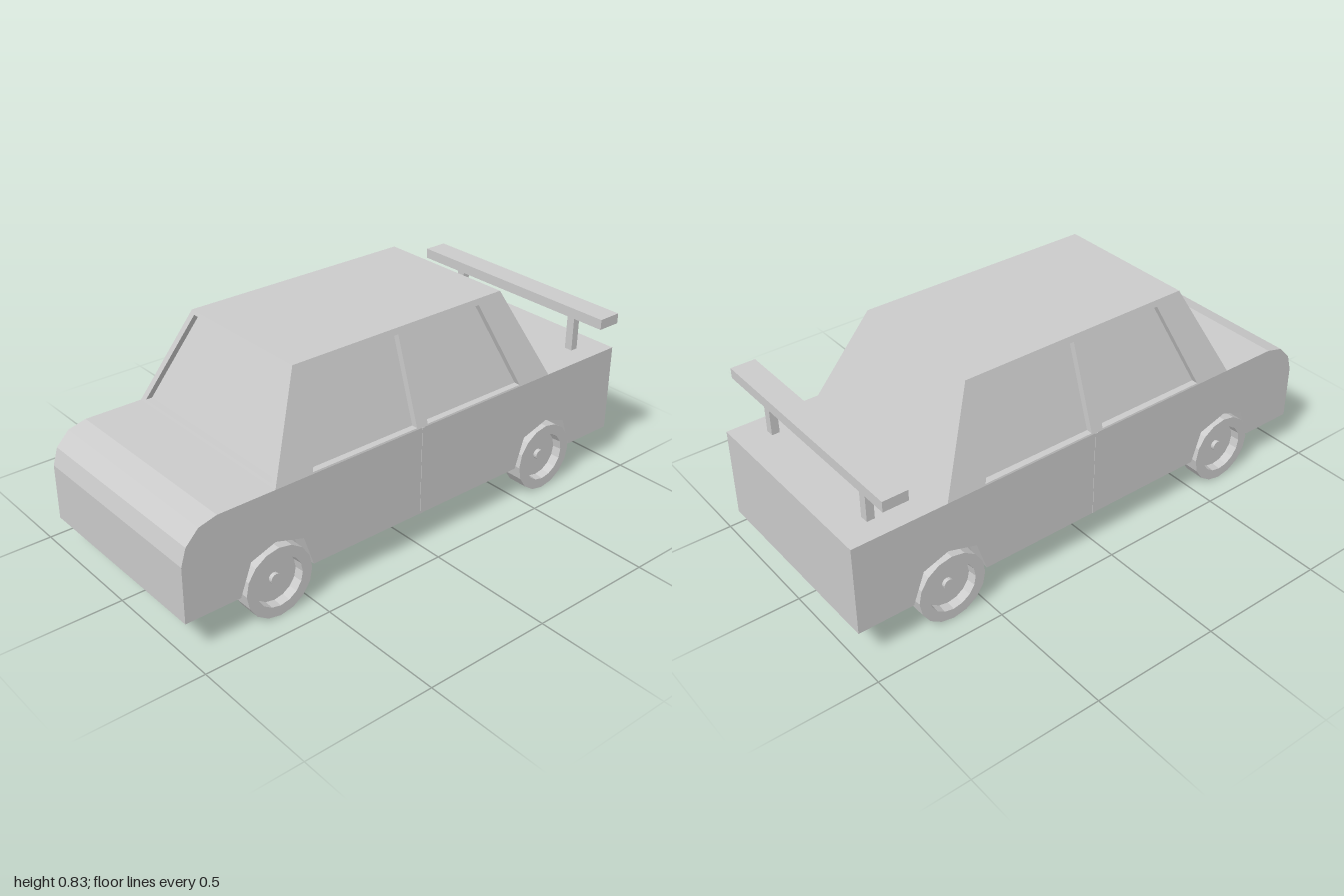
import * as THREE from 'three';

const BELT = 0.485, ROOF = 0.83, FLOOR = 0.135;   // heights
const HALF = 0.4, ROOF_HALF = 0.285;              // half widths
const AXLE = 0.635, INNER = 0.33;                 // wheel x and inner face z
const RECESS = 0.025;

const material = new THREE.MeshStandardMaterial({ color: 0xcccccc, flatShading: true });

function add(parent, name, geometry, x = 0, y = 0, z = 0) {
  const mesh = new THREE.Mesh(geometry, material);
  mesh.name = name;
  mesh.position.set(x, y, z);
  parent.add(mesh);
  return mesh;
}

const points = (list) => list.map(([x, y]) => new THREE.Vector2(x, y));

function extrude(outline, holes, depth) {
  const shape = new THREE.Shape(points(outline));
  shape.holes = holes.map((h) => new THREE.Path(points(h)));
  return new THREE.ExtrudeGeometry(shape, { depth, bevelEnabled: false });
}

// Upright panel sheared so its outer face leans from zBase at the belt to zTop at the roof
function leaningPanel(outline, holes, zBase, zTop) {
  const geo = extrude(outline, holes, RECESS);
  const p = geo.attributes.position;
  for (let i = 0; i < p.count; i++) {
    const t = (p.getY(i) - BELT) / (ROOF - BELT);
    p.setZ(i, p.getZ(i) - RECESS + zBase + (zTop - zBase) * t);
  }
  geo.computeVertexNormals();
  return geo;
}

// Side profile of the lower body, optionally with wheel arches cut from the sill
function bodyProfile(arches) {
  const arch = (x) => [[-0.15, FLOOR], [-0.105, 0.255], [-0.005, 0.29], [0.11, 0.255], [0.15, FLOOR]]
    .map(([dx, y]) => [x + (x > 0 ? -dx : dx), y])
    .sort((a, b) => a[0] - b[0]);
  return [
    [-1, FLOOR],
    ...(arches ? [...arch(-AXLE), ...arch(AXLE)] : []),
    [1, FLOOR], [1, BELT], [-0.86, BELT], [-0.93, 0.467], [-0.98, 0.415], [-1, 0.35],
  ];
}

function createBody() {
  const body = new THREE.Group();
  body.name = 'body';
  add(body, 'bodyCore', extrude(bodyProfile(false), [], INNER * 2), 0, 0, -INNER);
  const sideGeo = extrude(bodyProfile(true), [], HALF - INNER);
  add(body, 'leftBodySide', sideGeo, 0, 0, INNER);
  add(body, 'rightBodySide', sideGeo, 0, 0, -HALF);
  // Thin door seams
  for (const s of [-1, 1]) {
    add(body, 'doorSeam', new THREE.BoxGeometry(0.012, BELT - FLOOR, 0.004), 0.004, (BELT + FLOOR) / 2, s * HALF);
  }
  return body;
}

function createCabin() {
  const cabin = new THREE.Group();
  cabin.name = 'cabin';

  // Solid core whose walls act as the recessed glass
  const core = new THREE.BoxGeometry(2, 1, 2);
  const p = core.attributes.position;
  for (let i = 0; i < p.count; i++) {
    const top = p.getY(i) > 0;
    const rear = p.getX(i) > 0;
    const x = top ? 0.47 : AXLE;
    p.setXYZ(i,
      rear ? x : RECESS - x,
      top ? ROOF : BELT,
      p.getZ(i) * ((top ? ROOF_HALF : HALF) - RECESS));
  }
  core.computeVertexNormals();
  add(cabin, 'glassAndRoof', core);

  // Side frames with two windows each
  const sideOutline = [[-AXLE, BELT], [AXLE, BELT], [0.47, ROOF], [-0.47, ROOF]];
  const windows = [-1, 1].map((s) =>
    [[0.482, 0.491], [0.357, 0.808], [0.025, 0.808], [0.025, 0.491]].map(([x, y]) => [s * x, y]));
  const sideGeo = leaningPanel(sideOutline, windows, HALF, ROOF_HALF);
  add(cabin, 'leftWindowFrame', sideGeo);
  add(cabin, 'rightWindowFrame', sideGeo).rotation.y = Math.PI;

  // Windscreen surround
  const screenOutline = [[-HALF, BELT], [HALF, BELT], [ROOF_HALF, ROOF], [-ROOF_HALF, ROOF]];
  const screenHole = [[-0.382, 0.495], [0.382, 0.495], [0.274, 0.818], [-0.274, 0.818]];
  add(cabin, 'windscreenFrame', leaningPanel(screenOutline, [screenHole], AXLE, 0.47))
    .rotation.y = -Math.PI / 2;
  return cabin;
}

function createWheels() {
  const wheels = new THREE.Group();
  wheels.name = 'wheels';
  // Tyre, dished rim and small hub in one turned profile
  const geo = new THREE.LatheGeometry(points([
    [0, 0], [0.135, 0], [0.135, 0.08], [0.095, 0.08], [0.092, 0.045],
    [0.02, 0.045], [0.02, 0.06], [0, 0.06],
  ]), 16);
  geo.rotateX(Math.PI / 2);
  for (const x of [-AXLE, AXLE]) {
    for (const s of [-1, 1]) {
      const wheel = add(wheels, x < 0 ? 'frontWheel' : 'rearWheel', geo, x, 0.135, s * INNER);
      if (s < 0) wheel.rotation.y = Math.PI;
    }
  }
  return wheels;
}

function createSpoiler() {
  const spoiler = new THREE.Group();
  spoiler.name = 'spoiler';
  add(spoiler, 'spoilerBlade', new THREE.BoxGeometry(0.095, 0.04, 0.945), 0.872, 0.657, 0);
  for (const s of [-1, 1]) {
    add(spoiler, 'spoilerPost', new THREE.BoxGeometry(0.03, 0.155, 0.033), 0.872, 0.561, s * 0.3);
  }
  return spoiler;
}

export function createModel() {
  const car = new THREE.Group();
  car.name = 'car';
  car.add(createBody(), createCabin(), createWheels(), createSpoiler());
  return car;
}
